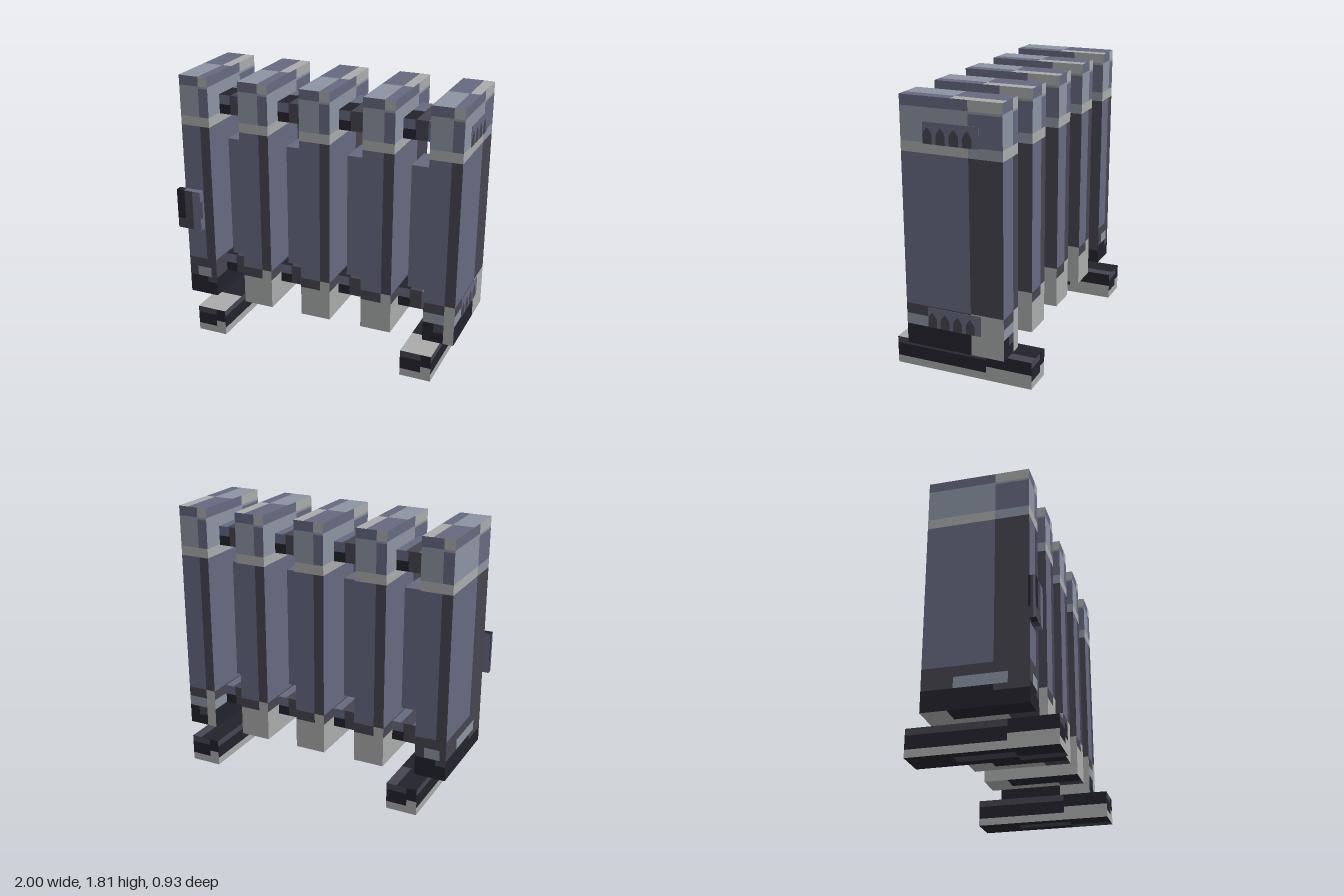
import * as THREE from 'three';
import { mergeGeometries } from 'three/addons/utils/BufferGeometryUtils.js';

const material = (name, color) => {
  const m = new THREE.MeshStandardMaterial({ color });
  m.name = name;
  return m;
};
const violet = material('slate violet', 0x666880);
const dark = material('dark grey', 0x46444f);
const black = material('near black', 0x22222c);
const light = material('light grey', 0xa9abaa);
const blue = material('blue grey', 0x8c94a2);

// Box whose faces are tiled with flat colours, given as rows from bottom to top:
// [row top, colour, column end, colour, column end, ...], all as fractions of the face.
function paintedBox(name, [x0, x1], [y0, y1], [z0, z1], faces) {
  const w = x1 - x0, h = y1 - y0, d = z1 - z0;
  const sides = {
    front: [w, h, d, 0, 0], back: [w, h, d, 0, Math.PI],
    right: [d, h, w, 0, Math.PI / 2], left: [d, h, w, 0, -Math.PI / 2],
    top: [w, d, h, -Math.PI / 2, 0], bottom: [w, d, h, Math.PI / 2, 0],
  };
  const byColour = new Map();
  for (const [side, [fw, fh, depth, rx, ry]] of Object.entries(sides)) {
    let v0 = 0;
    for (const [v1, ...cells] of faces[side] ?? faces.all) {
      let u0 = 0;
      for (let i = 0; i < cells.length; i += 2) {
        const u1 = cells[i + 1] ?? 1;
        const tile = new THREE.PlaneGeometry((u1 - u0) * fw, (v1 - v0) * fh)
          .translate(((u0 + u1) / 2 - 0.5) * fw, ((v0 + v1) / 2 - 0.5) * fh, depth / 2)
          .rotateX(rx).rotateY(ry);
        if (!byColour.has(cells[i])) byColour.set(cells[i], []);
        byColour.get(cells[i]).push(tile);
        u0 = u1;
      }
      v0 = v1;
    }
  }
  const group = new THREE.Group();
  group.name = name;
  for (const [mat, tiles] of byColour) {
    const mesh = new THREE.Mesh(mergeGeometries(tiles), mat);
    mesh.name = `${name} ${mat.name}`;
    group.add(mesh);
  }
  group.position.set((x0 + x1) / 2, (y0 + y1) / 2, (z0 + z1) / 2);
  return group;
}

// Upright fin face: coloured base, long plain middle and banded head
function finFace(base, wide) {
  const feet = {
    pale: [[0.13, light], [0.173, dark, 0.67, light]],
    black: [[0.06, black], [0.085, black, 0.67, dark], [0.13, dark, 0.3, blue, 0.8, dark], [0.173, dark]],
    edged: [
      [0.045, black, 0.67, light], [0.085, black, 0.35, wide ? black : dark, 0.67, light],
      [0.13, blue, 0.67, light], [0.173, dark, 0.67, light],
    ],
  };
  return [
    ...feet[base],
    [0.786, violet, 0.67, dark],
    [0.827, light, 0.67, wide ? blue : light],
    [0.95, blue, 0.67, violet],
    [0.959, blue],
    [1, violet, 0.67, light],
  ];
}

// Arched vents on a thin end plate, in the plane of the right end
function ventPlate(name, y, height) {
  const group = new THREE.Group();
  group.name = name;
  const plate = new THREE.Mesh(new THREE.BoxGeometry(0.36, height, 0.003), violet);
  plate.position.y = height / 2;
  group.add(plate);
  const arch = new THREE.Shape();
  arch.moveTo(-0.03, 0).lineTo(0.03, 0).lineTo(0.03, 0.055);
  arch.quadraticCurveTo(0.025, 0.075, 0, 0.1).quadraticCurveTo(-0.025, 0.075, -0.03, 0.055);
  for (let i = 0; i < 4; i++) {
    const vent = new THREE.Mesh(new THREE.ShapeGeometry(arch, 4), dark);
    vent.position.set(-0.15 + i * 0.086, 0, 0.003);
    group.add(vent);
  }
  group.rotation.y = Math.PI / 2;
  group.position.set(0.996, y, 0);
  return group;
}

export function createModel() {
  const model = new THREE.Group();
  model.name = 'radiator';
  const finX = (i) => -0.957 + i * 0.435;

  // Five fins
  const finTop = [[0.5, blue, 0.67, violet], [1, violet, 0.67, light]];
  const finBottom = [[0.25, light], [0.75, black, 0.67, light], [1, black, 0.67, dark]];
  for (let i = 0; i < 5; i++) {
    const base = i === 0 ? 'black' : i === 4 ? 'edged' : 'pale';
    const narrow = finFace(base, false), wide = finFace(base, true);
    model.add(paintedBox(`fin${i + 1}`, [finX(i), finX(i) + 0.211], [0.214, 1.807], [-0.33, 0.33], {
      front: narrow, back: narrow, left: wide, right: wide, top: finTop, bottom: finBottom,
    }));
  }

  // Upper and lower pipes and a heating panel in each gap
  const pipe = [[0.5, black, 0.37, dark, 0.73, violet], [1, violet, 0.35, dark, 0.73, violet]];
  for (let i = 0; i < 4; i++) {
    const gap = [finX(i) + 0.211, finX(i + 1)];
    model.add(paintedBox(`lowerPipe${i + 1}`, gap, [0.35, 0.482], [-0.18, 0.18], { all: pipe }));
    model.add(paintedBox(`upperPipe${i + 1}`, gap, [1.525, 1.657], [-0.18, 0.18], { all: pipe }));
    model.add(paintedBox(`panel${i + 1}`, [gap[1] - 0.15, gap[1]], [0.517, 1.368], [-0.03, 0.21], {
      all: [[1, violet]],
    }));
  }

  // Vents where the pipes meet the end fin
  model.add(ventPlate('lowerVents', 0.35, 0.132), ventPlate('upperVents', 1.525, 0.132));

  // Control box on the front of the end fin
  model.add(paintedBox('controlBox', [-1, -0.82], [0.725, 1.007], [0.33, 0.377], {
    all: [[0.26, dark, 0.67, violet], [1, black, 0.33, dark, 0.67, violet]],
    right: [[0.3, violet], [0.75, dark, 0.6, violet], [1, violet]],
    top: [[1, black, 0.3, violet]],
  }));

  // Two feet
  const footSide = [[0.28, light], [0.52, black, 0.67, light], [0.76, black], [1, dark, 0.67, black]];
  for (const [name, x] of [['rightFoot', -0.822], ['leftFoot', 0.681]]) {
    model.add(paintedBox(name, [x, x + 0.21], [0, 0.183], [-0.467, 0.467], {
      all: footSide,
      top: [[0.26, light], [0.73, black], [1, black, 0.67, dark]],
      bottom: [[0.3, black], [0.7, black, 0.3, dark, 0.7, black], [1, black, 0.67, dark]],
    }));
  }
  return model;
}
